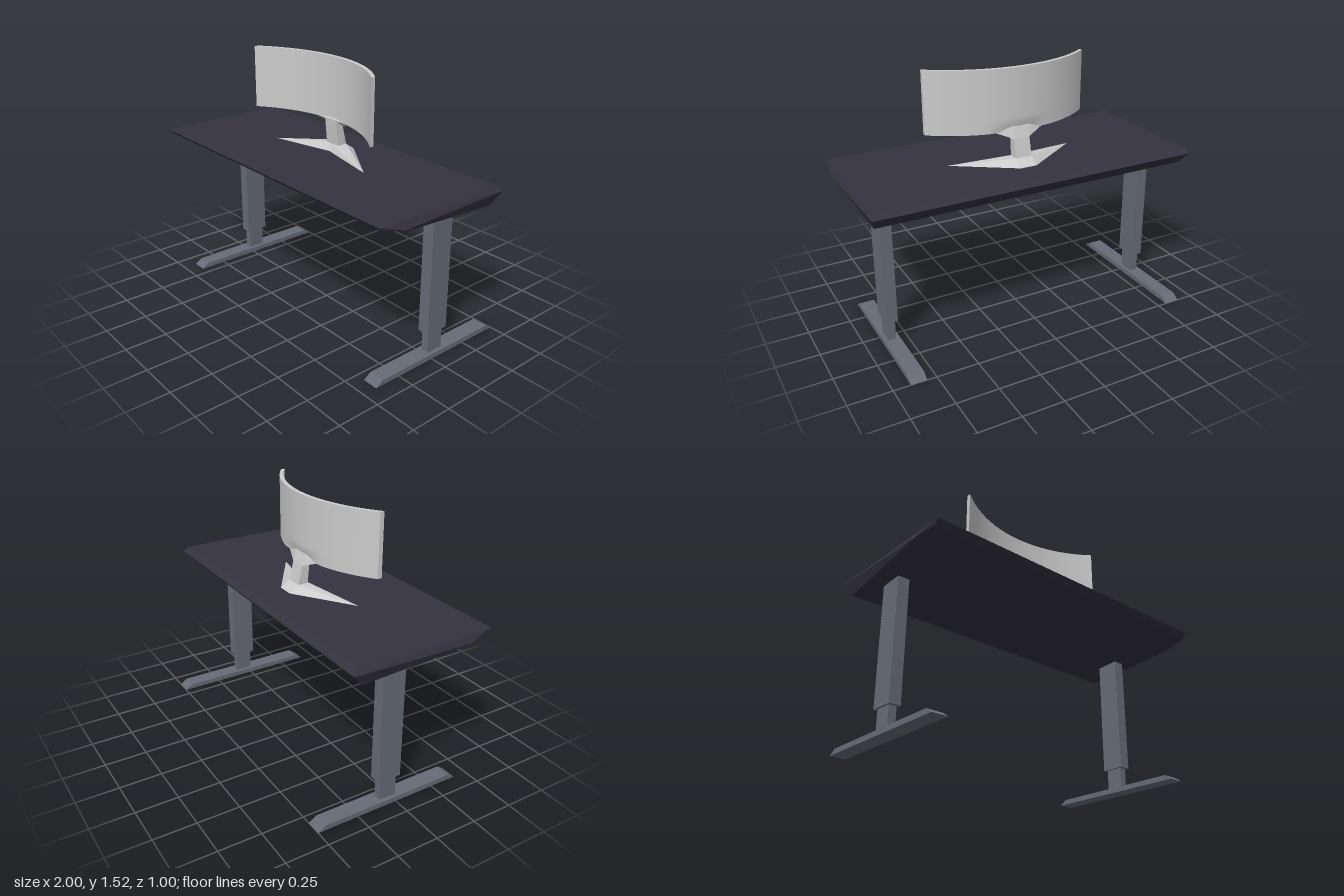
import * as THREE from 'three';
import { ConvexGeometry } from 'three/addons/geometries/ConvexGeometry.js';

const darkTop = new THREE.MeshStandardMaterial({ color: 0x353240 });
const steel = new THREE.MeshStandardMaterial({ color: 0x666c77 });
const grey = new THREE.MeshStandardMaterial({ color: 0xcccccc });

// Faceted solid spanned by corner points
function hull(name, points, material) {
  const geometry = new ConvexGeometry(points.map((p) => new THREE.Vector3(...p)));
  const mesh = new THREE.Mesh(geometry, material);
  mesh.name = name;
  return mesh;
}

// Each corner plus its copy across x = 0
const mirrored = (points) => points.flatMap(([x, y, z]) => [[x, y, z], [-x, y, z]]);

// Box given by its limits on each axis
function box(name, [x0, x1], [y0, y1], [z0, z1], material) {
  const mesh = new THREE.Mesh(new THREE.BoxGeometry(x1 - x0, y1 - y0, z1 - z0), material);
  mesh.position.set((x0 + x1) / 2, (y0 + y1) / 2, (z0 + z1) / 2);
  mesh.name = name;
  return mesh;
}

// Telescopic leg on a foot with sloped ends
function createLeg(name, side) {
  const leg = new THREE.Group();
  leg.name = name;
  leg.position.x = side * 0.853;
  const foot = [];
  for (const x of [-0.047, 0.047]) {
    foot.push([x, 0, 0.415], [x, 0, -0.5], [x, 0.03, 0.37], [x, 0.03, -0.455]);
  }
  leg.add(
    box('outerColumn', [-0.035, 0.035], [0.155, 0.89], [-0.113, 0.028], steel),
    box('innerColumn', [-0.023, 0.023], [0.03, 0.16], [-0.094, 0.01], steel),
    hull('foot', foot, steel),
  );
  return leg;
}

// Screen panel bent along an arc, its back drawn in above the stand
function createScreen() {
  const geometry = new THREE.BoxGeometry(1.024, 0.37, 0.026, 36, 14, 1);
  const pos = geometry.attributes.position;
  const radius = 0.83;
  for (let i = 0; i < pos.count; i++) {
    const x = pos.getX(i);
    const y = pos.getY(i) + 1.335;
    let z = pos.getZ(i);
    if (z < 0) {
      const low = 1 - THREE.MathUtils.smoothstep(y, 1.16, 1.21);
      const middle = 1 - THREE.MathUtils.smoothstep(Math.abs(x), 0.06, 0.22);
      z += 0.014 * low * middle;
    }
    pos.setXYZ(i, x, y, z - 0.055 + radius - Math.sqrt(radius * radius - x * x));
  }
  geometry.computeVertexNormals();
  const mesh = new THREE.Mesh(geometry, grey);
  mesh.name = 'screen';
  return mesh;
}

// Curved monitor with neck and V-shaped base
function createMonitor() {
  const monitor = new THREE.Group();
  monitor.name = 'monitor';
  for (const side of [1, -1]) {
    const wing = [
      [0, 0.96, -0.165], [0.05, 0.96, -0.165], [0.4, 0.96, 0.07], [0, 0.96, -0.02],
      [0, 1, -0.107], [0.05, 1, -0.107], [0.05, 1, -0.044], [0, 1, -0.044],
    ].map(([x, y, z]) => [side * x, y, z]);
    monitor.add(hull(side > 0 ? 'baseLeft' : 'baseRight', wing, grey));
  }
  const neck = mirrored([
    [0.05, 0.995, -0.044], [0.05, 0.995, -0.107],
    [0.05, 1.11, -0.08], [0.05, 1.155, -0.05], [0.05, 1.155, -0.029],
  ]);
  const bracket = mirrored([
    [0.05, 1.11, -0.08], [0.05, 1.18, -0.056], [0.05, 1.15, -0.042],
    [0.15, 1.15, -0.045], [0.15, 1.15, -0.035],
  ]);
  monitor.add(hull('neck', neck, grey), hull('bracket', bracket, grey), createScreen());
  return monitor;
}

export function createModel() {
  const model = new THREE.Group();
  model.name = 'standingDesk';

  // Wedge-edged desktop: top face, widest edge, underside
  const desktop = mirrored([
    [0.978, 0.96, 0.5], [0.978, 0.96, -0.337],
    [0.972, 0.932, 0.472], [1, 0.915, 0.35], [1, 0.93, -0.37],
    [0.972, 0.885, 0.24], [0.972, 0.855, -0.3],
  ]);
  model.add(hull('desktop', desktop, darkTop));

  model.add(createLeg('leftLeg', 1), createLeg('rightLeg', -1), createMonitor());
  return model;
}
